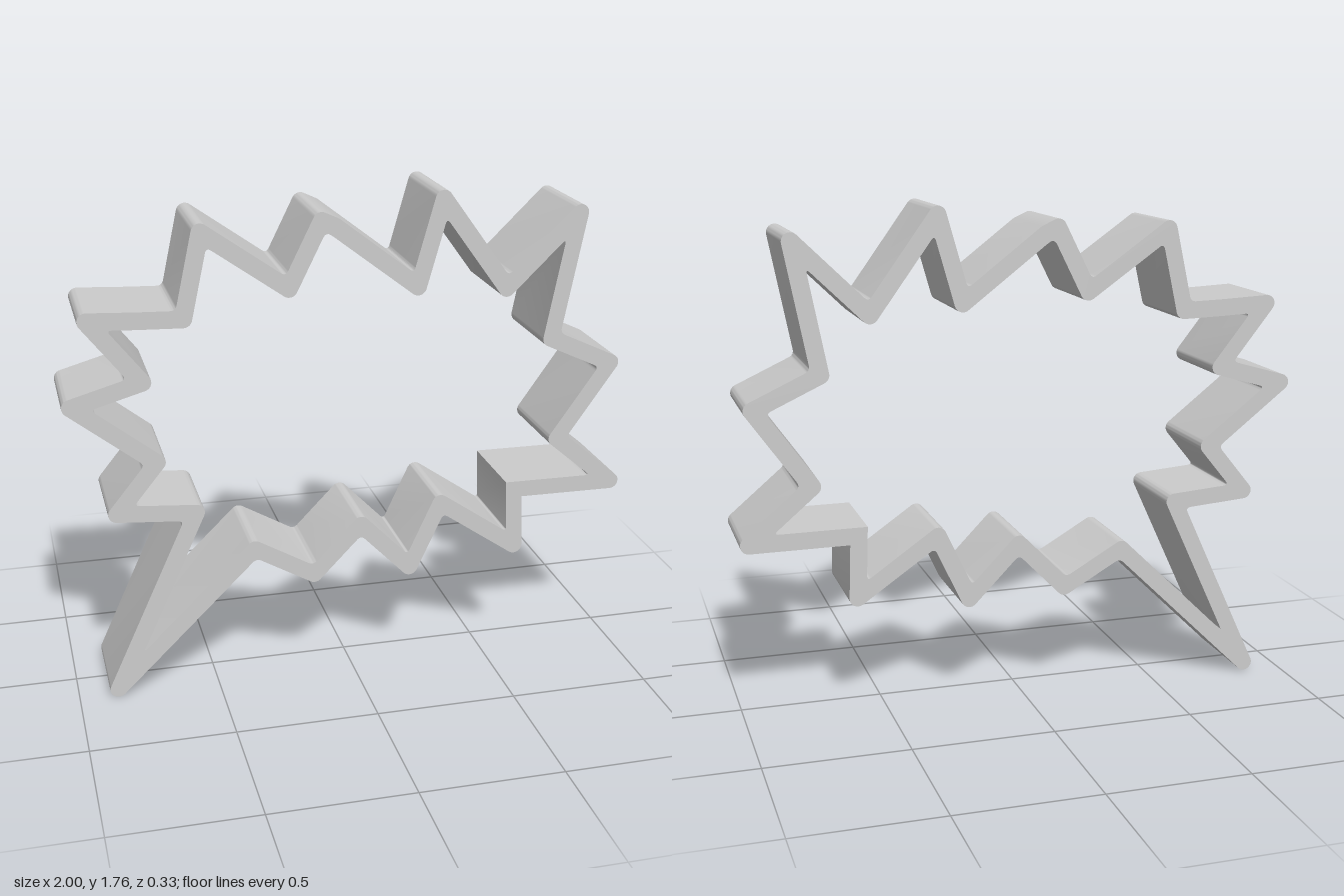
import * as THREE from 'three';
import { toCreasedNormals } from 'three/addons/utils/BufferGeometryUtils.js';

const HALF_WALL = 0.03;
const DEPTH = 0.33;
const FILLET = 0.02;

// Centre line of the wall, clockwise from the upper left spike; a third value marks a square corner
const PATH = [
  [-0.903, 1.389], [-0.74, 1.381], [-0.585, 1.376], [-0.521, 1.664], [-0.227, 1.456],
  [-0.115, 1.68], [-0.07, 1.659], [0.222, 1.434], [0.307, 1.733], [0.542, 1.408],
  [0.799, 1.659], [0.713, 1.215], [0.943, 1.108], [0.751, 0.836], [0.97, 0.65],
  [0.596, 0.652, 1], [0.604, 0.43], [0.318, 0.628], [0.206, 0.387], [0.024, 0.574],
  [-0.147, 0.398], [-0.361, 0.521], [-0.863, 0.03], [-0.564, 0.681], [-0.836, 0.702],
  [-0.692, 0.879], [-0.97, 1.098], [-0.729, 1.167],
];

// Offset the centre line to one side: full round on convex corners, small fillet on concave ones
function offsetContour(side) {
  const pts = PATH.map(([x, y]) => new THREE.Vector2(x, y));
  const n = pts.length;
  const out = [];
  pts.forEach((p, i) => {
    const d0 = p.clone().sub(pts[(i + n - 1) % n]).normalize();
    const d1 = pts[(i + 1) % n].clone().sub(p).normalize();
    const n0 = new THREE.Vector2(-d0.y, d0.x).multiplyScalar(side);
    const n1 = new THREE.Vector2(-d1.y, d1.x).multiplyScalar(side);
    const turn = Math.atan2(d0.cross(d1), d0.dot(d1));
    const square = PATH[i][2];
    if (side * turn < 0 && !square) {
      const steps = Math.max(2, Math.ceil(Math.abs(turn) / 0.2));
      const start = Math.atan2(n0.y, n0.x);
      for (let k = 0; k <= steps; k++) {
        const a = start + (turn * k) / steps;
        out.push(new THREE.Vector2(p.x + HALF_WALL * Math.cos(a), p.y + HALF_WALL * Math.sin(a)));
      }
    } else {
      const scale = HALF_WALL / (1 + n0.dot(n1));
      const corner = n0.add(n1).multiplyScalar(scale).add(p);
      if (square) {
        out.push(corner);
      } else {
        const from = corner.clone().addScaledVector(d0, -FILLET);
        const to = corner.clone().addScaledVector(d1, FILLET);
        out.push(...new THREE.QuadraticBezierCurve(from, corner, to).getPoints(8));
      }
    }
  });
  return out;
}

export function createModel() {
  const group = new THREE.Group();
  group.name = 'burstCutter';

  // Spiky closed wall with a pointed tail at the lower left; the hole runs opposite to the outline
  const shape = new THREE.Shape(offsetContour(1));
  shape.holes.push(new THREE.Path(offsetContour(-1).reverse()));
  const extruded = new THREE.ExtrudeGeometry(shape, { depth: DEPTH, bevelEnabled: false });
  extruded.translate(0, 0, -DEPTH / 2);

  const wall = new THREE.Mesh(
    toCreasedNormals(extruded, 0.5),
    new THREE.MeshStandardMaterial({ color: 0xcccccc })
  );
  wall.name = 'burstWall';
  group.add(wall);
  return group;
}
